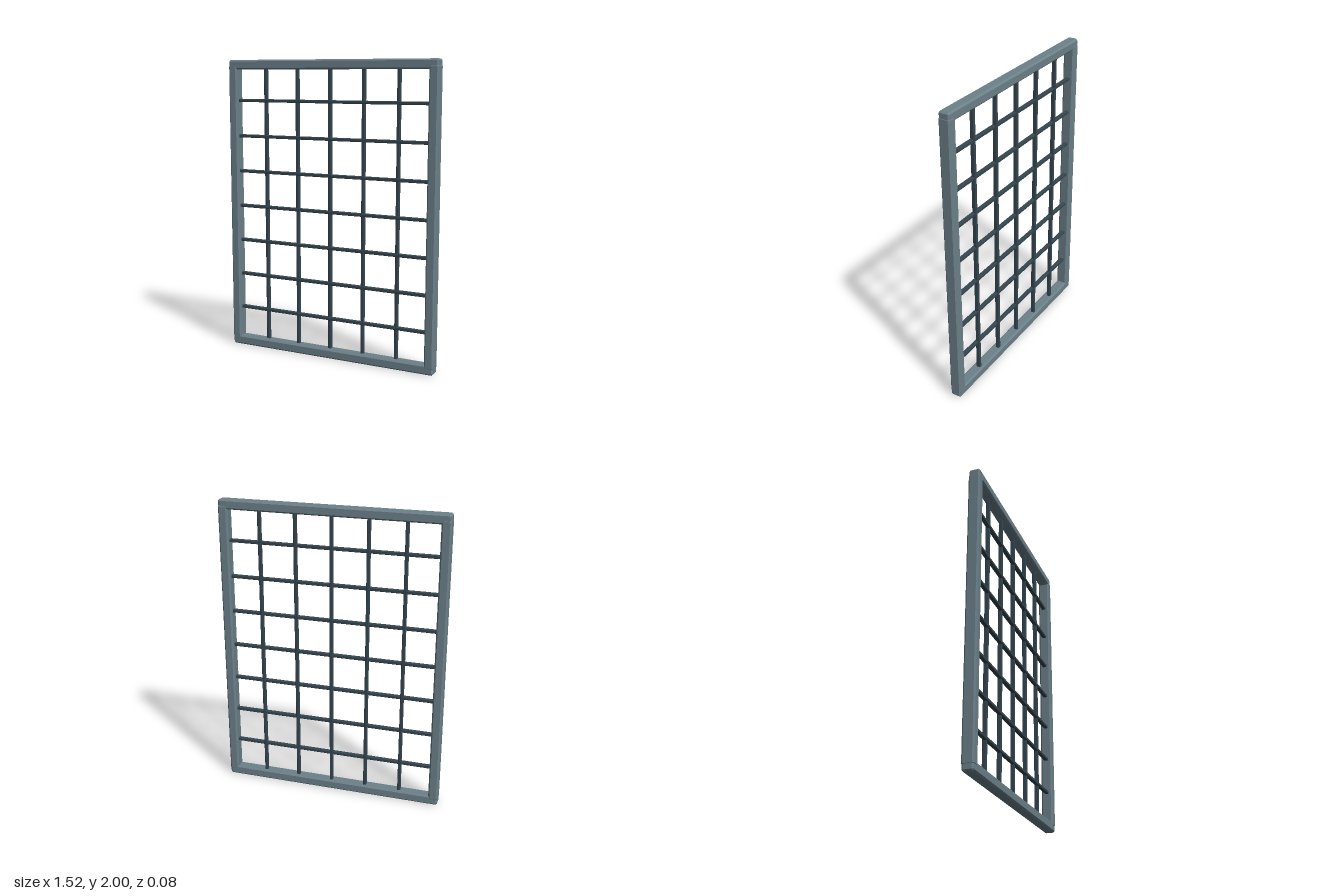
import * as THREE from 'three';

const W = 1.516, H = 2, DEPTH = 0.078, RAIL = 0.064, BEVEL = 0.01;
const LIP = 0.002; // how far the stiles stand proud of the rails
const PITCH = 0.2425, BAR = 0.021, BAR_DEPTH = 0.027, BAR_BEVEL = 0.003;

// Box centred on the origin with a flat chamfer c along every edge
function chamferBox(w, h, d, c) {
  const x = w / 2, y = h / 2;
  const outline = new THREE.Shape([
    [c - x, -y], [x - c, -y], [x, c - y], [x, y - c],
    [x - c, y], [c - x, y], [-x, y - c], [-x, c - y],
  ].map(([px, py]) => new THREE.Vector2(px, py)));
  return new THREE.ExtrudeGeometry(outline, {
    depth: d - 2 * c, bevelEnabled: true, bevelSegments: 1,
    bevelSize: c, bevelThickness: c, bevelOffset: -c,
  }).translate(0, 0, c - d / 2);
}

export function createModel() {
  const model = new THREE.Group();
  model.name = 'gridPanel';
  const frameMat = new THREE.MeshStandardMaterial({ color: 0x6c818a });
  const barMat = new THREE.MeshStandardMaterial({ color: 0x35464f });

  const add = (name, geometry, material, x, y, z = 0) => {
    const mesh = new THREE.Mesh(geometry, material);
    mesh.name = name;
    mesh.position.set(x, y, z);
    model.add(mesh);
  };

  // Outer frame: top and bottom rails joined by slightly proud stiles
  const rail = chamferBox(W - 2 * LIP, RAIL, DEPTH - 2 * LIP, BEVEL);
  add('topRail', rail, frameMat, 0, H - RAIL / 2);
  add('bottomRail', rail, frameMat, 0, RAIL / 2);
  const stile = chamferBox(RAIL, H - 0.07, DEPTH, BEVEL);
  add('leftStile', stile, frameMat, (W - RAIL) / 2, H / 2);
  add('rightStile', stile, frameMat, -(W - RAIL) / 2, H / 2);

  // Crossing bars, the uprights set slightly behind, their ends in the frame
  const upright = chamferBox(BAR, H - RAIL, BAR_DEPTH, BAR_BEVEL);
  for (let i = -2; i <= 2; i++) add('verticalBar', upright, barMat, i * PITCH, H / 2, -0.006);

  const cross = chamferBox(W - RAIL, BAR, BAR_DEPTH, BAR_BEVEL);
  for (let i = -3; i <= 3; i++) add('horizontalBar', cross, barMat, 0, H / 2 + i * PITCH);

  return model;
}
